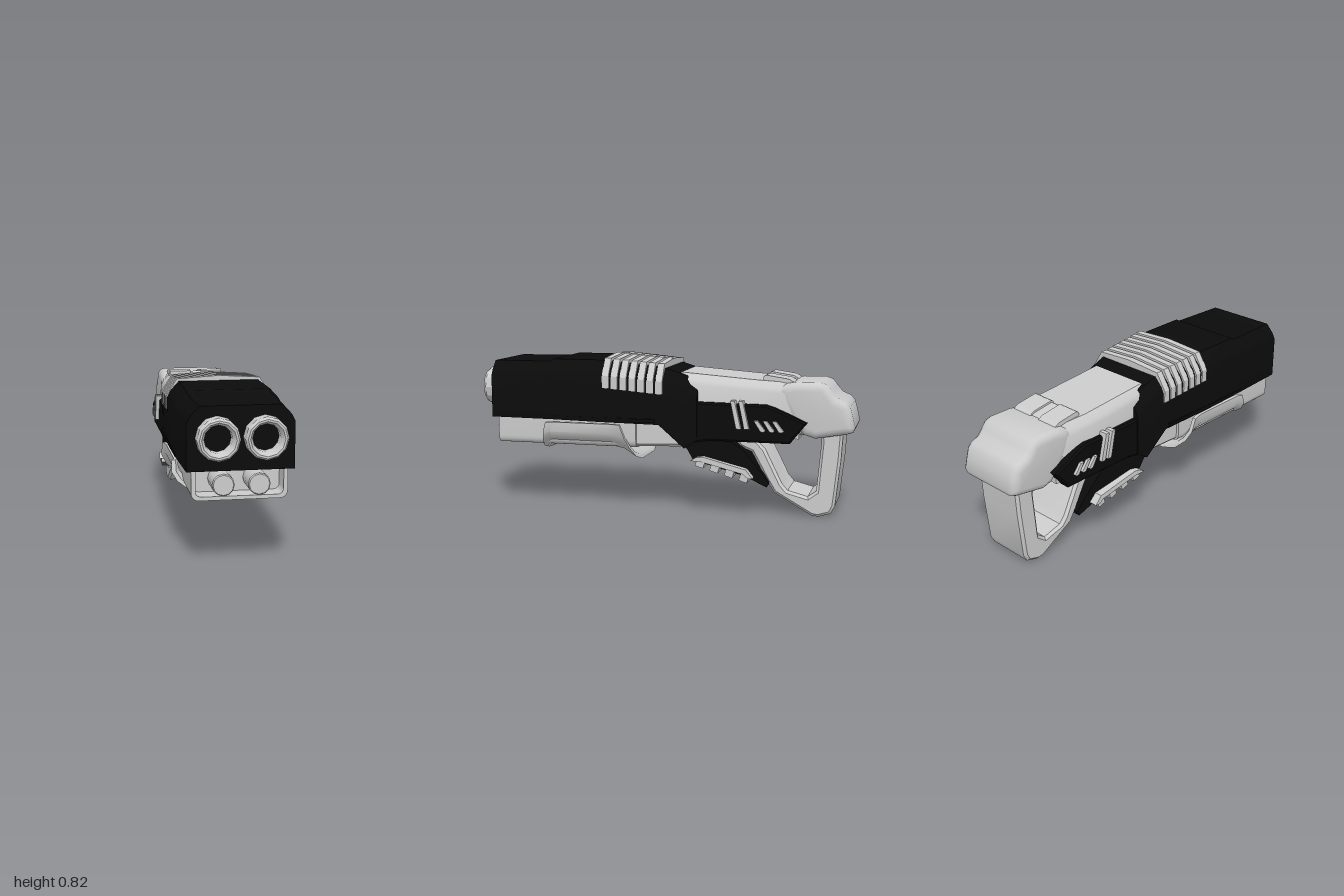
import * as THREE from 'three';
import { toCreasedNormals } from 'three/addons/utils/BufferGeometryUtils.js';

const grey = new THREE.MeshStandardMaterial({ color: 0xcccccc });
const black = new THREE.MeshStandardMaterial({ color: 0x0b0b0b });

const mesh = (name, geo, mat = grey, crease = 0.6) => {
  const m = new THREE.Mesh(toCreasedNormals(geo, crease), mat);
  m.name = name;
  return m;
};
const toShape = (pts) => new THREE.Shape(pts.map((p) => new THREE.Vector2(...p)));

// Side profile in [z, y], extruded across x and centred on cx
function sideExtrude(pts, width, { cx = 0, bevel = 0, hole = null, segments = 1 } = {}) {
  const shape = toShape(pts);
  if (hole) shape.holes.push(new THREE.Path(hole.map((p) => new THREE.Vector2(...p))));
  const depth = width - 2 * bevel;
  return new THREE.ExtrudeGeometry(shape, {
    depth, bevelEnabled: bevel > 0, bevelSize: bevel, bevelThickness: bevel,
    bevelOffset: -bevel, bevelSegments: segments, curveSegments: 4,
  }).translate(0, 0, -depth / 2).rotateY(-Math.PI / 2).translate(cx, 0, 0);
}

// Front profile in [x, y], extruded along z
const frontExtrude = (shape, z0, z1) =>
  new THREE.ExtrudeGeometry(shape, { depth: z1 - z0, bevelEnabled: false, curveSegments: 5 }).translate(0, 0, z0);

// Skin over cross-sections that run front to back, each anticlockwise seen from the front
function loft(sections) {
  const n = sections[0].length, index = [];
  for (let i = 0; i < sections.length - 1; i++) {
    for (let j = 0; j < n; j++) {
      const a = i * n + j, b = i * n + ((j + 1) % n);
      index.push(a, a + n, b + n, a, b + n, b);
    }
  }
  const last = (sections.length - 1) * n;
  const cap = sections[0].map((p) => new THREE.Vector2(p[0], p[1]));
  for (const [a, b, c] of THREE.ShapeUtils.triangulateShape(cap, [])) {
    index.push(a, b, c, last + a, last + c, last + b);
  }
  const g = new THREE.BufferGeometry();
  g.setAttribute('position', new THREE.Float32BufferAttribute(sections.flat(2), 3));
  g.setIndex(index);
  return g;
}

// Box section with softened top corners
const hullSection = ([z, w, top, bottom, c = 0.085]) => [
  [-w, bottom, z], [w, bottom, z], [w, top - c, z], [w - c * 0.2, top - c * 0.6, z],
  [w - c * 0.7, top - 0.005, z], [-w + c * 0.7, top - 0.005, z],
  [-w + c * 0.2, top - c * 0.6, z], [-w, top - c, z],
];

// Scale or shift x by a rule of z
function shapeX(geo, rule) {
  const p = geo.attributes.position;
  for (let i = 0; i < p.count; i++) p.setX(i, rule(p.getX(i), p.getZ(i)));
  return geo;
}

function roundedRect(w, bottom, top, r) {
  const s = new THREE.Shape();
  s.moveTo(-w, top).lineTo(-w, bottom + r).quadraticCurveTo(-w, bottom, -w + r, bottom);
  s.lineTo(w - r, bottom).quadraticCurveTo(w, bottom, w, bottom + r).lineTo(w, top);
  return s;
}

export function createModel() {
  const g = new THREE.Group();
  g.name = 'blaster';

  // Upper black shell
  g.add(mesh('upperShell', loft([
    [0.93, 0.25, 0.78, 0.475], [0.61, 0.262, 0.783, 0.475], [0.59, 0.263, 0.796, 0.475],
    [0.3, 0.262, 0.796, 0.47], [0.0, 0.25, 0.766, 0.465], [-0.135, 0.24, 0.725, 0.345],
    [-0.2, 0.235, 0.685, 0.39],
  ].map(hullSection)), black));
  g.add(mesh('shellLedge', new THREE.BoxGeometry(0.528, 0.018, 0.6).translate(0, 0.485, 0.32), black));

  // Twin barrels and lower tubes
  const tube = (profile) =>
    new THREE.LatheGeometry(profile.map((p) => new THREE.Vector2(...p)), 12).rotateX(Math.PI / 2);
  for (const s of [1, -1]) {
    const barrel = mesh('barrel', tube([[0.1, 0.85], [0.1, 0.985], [0.09, 1], [0.08, 1], [0.065, 0.97], [0.065, 0.88], [0, 0.88]]), grey, 0.5);
    barrel.position.set(s * 0.11, 0.63, 0);
    const lower = mesh('lowerTube', tube([[0.052, 0.7], [0.052, 0.945], [0.047, 0.95], [0, 0.95]]));
    lower.position.set(s * 0.083, 0.413, 0);
    g.add(barrel, lower);
  }

  // Hollow tray under the barrels
  const tray = roundedRect(0.225, 0.332, 0.48, 0.04);
  tray.holes.push(new THREE.Path(roundedRect(0.205, 0.35, 0.47, 0.03).getPoints(5)));
  g.add(mesh('tray', frontExtrude(tray, 0.13, 0.905)));
  g.add(mesh('trayBack', new THREE.BoxGeometry(0.42, 0.13, 0.02).translate(0, 0.41, 0.8)));
  g.add(mesh('underside', sideExtrude([[0.16, 0.338], [0.16, 0.48], [-0.16, 0.48], [-0.14, 0.352], [-0.1, 0.348]], 0.42, { bevel: 0.015 })));

  // Sliding foregrip: a U-shaped shell with flared ends
  const grip = [
    [0.615, 0.655, 0.3, 0.28], [0.585, 0.61, 0.318, 0.265], [0.27, 0.27, 0.318, 0.265],
    [0.24, 0.2, 0.305, 0.27], [0.205, 0.125, 0.26, 0.28],
  ].map(([zTop, zLow, low, w]) => {
    const drop = 0.46 - low;
    const at = (x, t) => [x, 0.46 - drop * t, zTop + (zLow - zTop) * t];
    const right = [[w, 0], [w, 0.36], [w - 0.025, 0.62], [w - 0.08, 0.88], [w - 0.16, 1]];
    const inner = [[w - 0.02, 0], [w - 0.022, 0.34], [w - 0.045, 0.57], [w - 0.09, 0.78], [w - 0.16, 0.88]];
    const full = (a) => [...a.map(([x, t]) => at(-x, t)), ...[...a].reverse().map(([x, t]) => at(x, t))];
    return [...full(right), ...full(inner).reverse()];
  });
  g.add(mesh('foregrip', loft(grip), grey, 0.7));

  // Ribbed cover over the shell
  for (let i = 0; i < 7; i++) {
    const w = 0.268 - i * 0.002, d = i * 0.004, z = 0.3 - i * 0.0475;
    const rib = toShape([[-w, 0.65 - d], [w, 0.65 - d], [w, 0.715 - d], [w - 0.055, 0.803 - d],
      [0, 0.816 - d], [-w + 0.055, 0.803 - d], [-w, 0.715 - d]]);
    g.add(mesh('coverRib', frontExtrude(rib, z - 0.036, z), grey, 0.2));
  }

  // Grey receiver and rounded butt
  g.add(mesh('receiver', loft([
    [-0.1, 0.205, 0.74, 0.4, 0.06], [-0.5, 0.205, 0.71, 0.41, 0.06], [-0.72, 0.18, 0.695, 0.41, 0.06],
  ].map(hullSection))));
  g.add(mesh('butt', sideExtrude([
    [-0.6, 0.66], [-0.65, 0.69], [-0.7, 0.699], [-0.82, 0.7], [-0.855, 0.688], [-0.88, 0.655], [-0.905, 0.625],
    [-0.95, 0.605], [-0.972, 0.58], [-0.985, 0.535], [-1, 0.475], [-0.99, 0.45], [-0.96, 0.44],
    [-0.8, 0.412], [-0.74, 0.43], [-0.68, 0.5],
  ], 0.38, { bevel: 0.04, segments: 4 }), grey, 0.8));

  // Rear sight with a centre notch
  const sight = [[-0.53, 0.69], [-0.53, 0.722], [-0.545, 0.729], [-0.66, 0.712], [-0.69, 0.695], [-0.64, 0.67]];
  for (const s of [1, -1]) g.add(mesh('sightBlock', sideExtrude(sight, 0.12, { cx: s * 0.09 }), grey, 0.3));
  g.add(mesh('sightNotch', sideExtrude(sight.map(([z, y]) => [z, y - 0.01]), 0.06), grey, 0.3));

  // Loop handle
  g.add(mesh('handle', sideExtrude([
    [-0.94, 0.47], [-0.93, 0.3], [-0.905, 0.06], [-0.885, 0.02], [-0.82, 0], [-0.785, 0.005], [-0.59, 0.115],
    [-0.55, 0.18], [-0.47, 0.325], [-0.41, 0.35], [-0.36, 0.42], [-0.45, 0.46],
  ], 0.28, {
    bevel: 0.014,
    hole: [[-0.5, 0.385], [-0.54, 0.345], [-0.63, 0.165], [-0.66, 0.13], [-0.765, 0.103], [-0.808, 0.135],
      [-0.83, 0.395], [-0.825, 0.425], [-0.56, 0.42]],
  })));

  // Lower black housing, narrowing to the rear
  g.add(mesh('lowerHousing', shapeX(sideExtrude([
    [-0.08, 0.42], [-0.15, 0.34], [-0.18, 0.285], [-0.44, 0.205], [-0.555, 0.147], [-0.565, 0.17],
    [-0.54, 0.21], [-0.43, 0.345], [-0.36, 0.39], [-0.25, 0.42],
  ], 2), (x, z) => x * (0.255 + z * 0.17)), black, 0.3));

  // Cross bars beneath the housing
  for (let i = 0; i < 4; i++) {
    const bar = mesh('railBar', new THREE.BoxGeometry(0.48 - i * 0.02, 0.042, 0.045));
    bar.position.set(0, 0.272 - i * 0.024, -0.22 - i * 0.075);
    bar.rotation.x = -0.3;
    g.add(bar);
  }

  for (const s of [1, -1]) {
    // Side rail that joins the cross bars
    g.add(mesh('sideRail', shapeX(sideExtrude([
      [-0.17, 0.285], [-0.2, 0.303], [-0.235, 0.307], [-0.455, 0.245], [-0.49, 0.2], [-0.465, 0.2], [-0.44, 0.222], [-0.23, 0.28],
    ], 0.06, { cx: s * 0.225 }), (x, z) => x + s * (z + 0.17) * 0.12), grey, 0.3));

    // Black rear side panel
    g.add(mesh('sidePanel', sideExtrude([
      [-0.1, 0.59], [-0.555, 0.585], [-0.6, 0.57], [-0.765, 0.497], [-0.68, 0.39], [-0.26, 0.39], [-0.1, 0.36],
    ], 0.07, { cx: s * 0.195, bevel: 0.01 }), black, 0.3));

    // Raised slanted bars on the panel
    for (let i = 0; i < 2; i++) {
      const z = -0.378 - i * 0.042;
      g.add(mesh('tallBar', sideExtrude([[z, 0.603], [z - 0.022, 0.603], [z - 0.055, 0.46], [z - 0.03, 0.46]],
        0.05, { cx: s * 0.225 }), grey, 0.3));
    }
    for (let i = 0; i < 3; i++) {
      const z = -0.498 - i * 0.047;
      g.add(mesh('shortBar', sideExtrude([[z, 0.505], [z - 0.02, 0.505], [z - 0.06, 0.455], [z - 0.05, 0.448], [z - 0.035, 0.45]],
        0.05, { cx: s * 0.22 }), grey, 0.3));
    }
  }
  return g;
}
